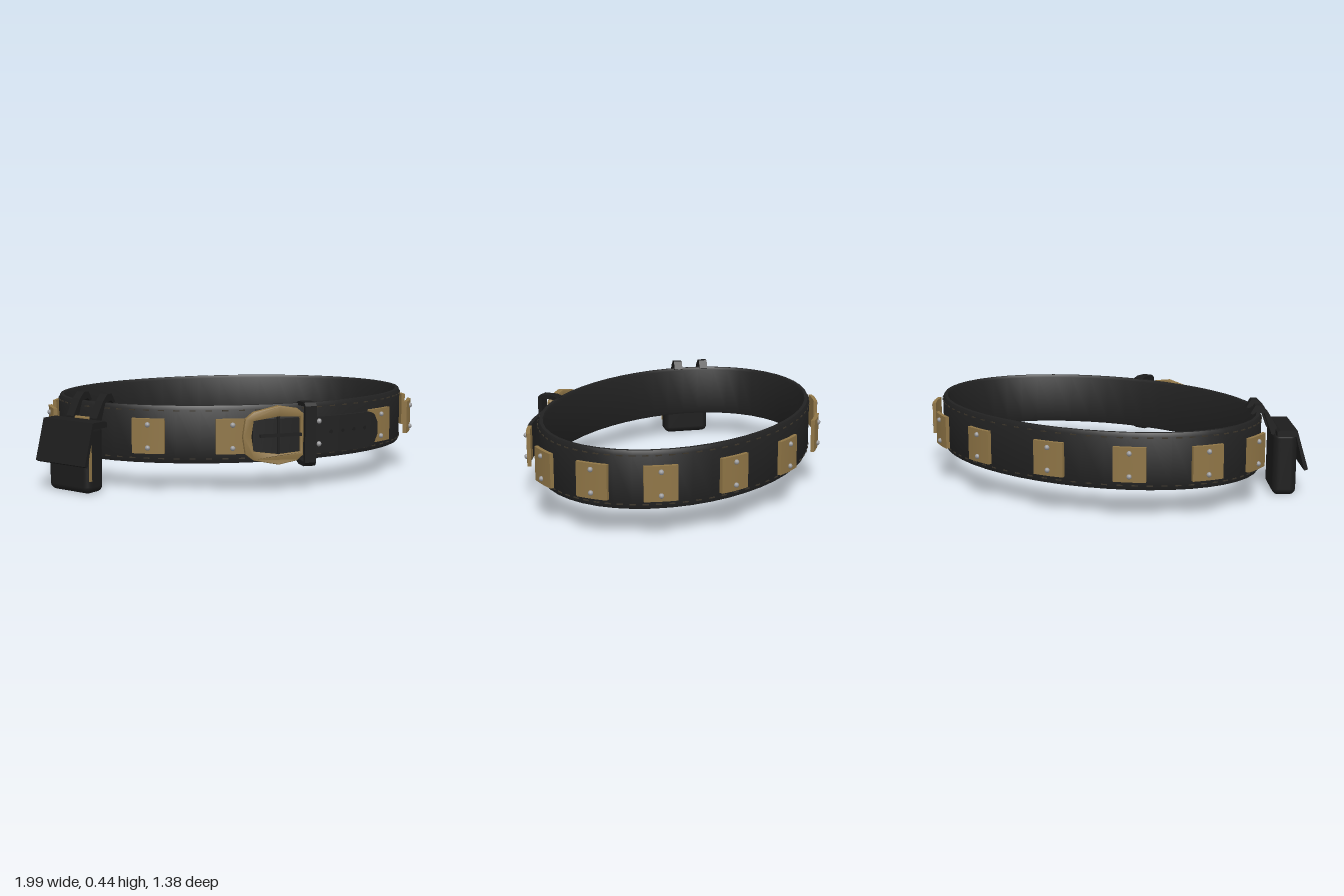
import * as THREE from 'three';
import { toCreasedNormals } from 'three/addons/utils/BufferGeometryUtils.js';
import { RoundedBoxGeometry } from 'three/addons/geometries/RoundedBoxGeometry.js';

const material = (name, color) => {
  const m = new THREE.MeshStandardMaterial({ color });
  m.name = name;
  return m;
};

const CX = 0.05, CZ = -0.02, RX = 0.88, RZ = 0.62, MID = 0.265;

// Move every vertex of a geometry by a rule, then rebuild its normals
function bend(geometry, rule, crease = 0.6) {
  const p = geometry.attributes.position, v = new THREE.Vector3();
  for (let i = 0; i < p.count; i++) {
    rule(v.fromBufferAttribute(p, i));
    p.setXYZ(i, v.x, v.y, v.z);
  }
  return toCreasedNormals(geometry, crease);
}

const polygon = (pts) => new THREE.Shape(pts.map(([x, y]) => new THREE.Vector2(x, y)));

// Extrude a (z, y) outline sideways, centred on x = 0
function sideExtrude(shape, width) {
  const g = new THREE.ExtrudeGeometry(shape, { depth: width, bevelEnabled: false });
  return g.translate(0, 0, -width / 2).rotateY(-Math.PI / 2);
}

export function createModel() {
  const leather = material('black leather', 0x222222);
  const darkLeather = material('dark leather', 0x1c1c1c);
  const brass = material('aged brass', 0x8f7546);
  const steel = material('steel', 0x9a9a9c);
  const thread = material('thread', 0x3a342a);

  const root = new THREE.Group();
  const add = (parent, name, geometry, mat, x = 0, y = 0, z = 0) => {
    const mesh = new THREE.Mesh(geometry, mat);
    mesh.name = name;
    mesh.position.set(x, y, z);
    parent.add(mesh);
    return mesh;
  };

  // Elliptical belt band with softened edges
  const profile = [[1, 0.15], [1, 0.38], [0.992, 0.398], [0.976, 0.398], [0.97, 0.385],
    [0.97, 0.145], [0.976, 0.133], [0.992, 0.133], [1, 0.15]];
  const band = bend(
    new THREE.LatheGeometry(profile.map(([r, y]) => new THREE.Vector2(r, y)), 48),
    (v) => {
      const r = Math.hypot(v.x, v.z), s = v.x / r, c = v.z / r;
      v.x = CX + s * (RX + r - 1);
      v.z = CZ + c * (RZ + r - 1);
    });
  add(root, 'beltBand', band, leather);

  // Stitching along both edges
  const stitchGeometry = new THREE.BoxGeometry(0.028, 0.005, 0.005);
  for (let i = 0; i < 72; i++) {
    const t = (i / 72) * Math.PI * 2, s = Math.sin(t), c = Math.cos(t);
    for (const y of [0.155, 0.376]) {
      const stitch = add(root, 'stitch', stitchGeometry, thread, CX + RX * s, y, CZ + RZ * c);
      stitch.rotation.y = Math.atan2(s / RX, c / RZ);
    }
  }

  // Riveted brass plates: offset x, offset z, turn in degrees
  const plateGeometry = bend(new THREE.BoxGeometry(0.15, 0.16, 0.018, 6, 1, 1),
    (v) => { v.z -= v.x * v.x * 0.8; });
  const rivetGeometry = new THREE.SphereGeometry(0.012, 10, 8);
  const addRivets = (parent, x, z) => {
    for (const dy of [-0.053, 0.053]) add(parent, 'rivet', rivetGeometry, steel, x, dy, z);
  };
  const addPlate = (dx, dz, turn) => {
    const plate = new THREE.Group();
    plate.name = 'beltPlate';
    plate.position.set(CX + dx, MID, CZ + dz);
    plate.rotation.y = turn;
    add(plate, 'plate', plateGeometry, brass);
    addRivets(plate, 0, 0.011);
    root.add(plate);
  };
  for (const [dx, dz, degrees] of [[0.21, 0.65, 10], [0.57, 0.525, 28], [0.835, 0.29, 57], [0.92, 0, 90]]) {
    for (const sx of [-1, 1]) for (const sz of [-1, 1]) {
      if (dz === 0 && sz < 0) continue;
      if (sz > 0 && sx > 0 && degrees === 10) continue; // covered by the strap
      if (sz > 0 && sx < 0 && degrees === 57) continue; // pouch hangs here
      const a = THREE.MathUtils.degToRad(degrees);
      addPlate(sx * dx, sz * dz, Math.atan2(sx * Math.sin(a), sz * Math.cos(a)));
    }
  }

  // Overlapping strap end with a rounded tip
  const strapZ = (x) => CZ + 0.67 * Math.sqrt(1 - ((x - CX) / 0.94) ** 2);
  const strap = bend(new THREE.BoxGeometry(1, 1, 0.018, 32, 1, 1), (v) => {
    const x = -0.07 + (v.x + 0.5) * 0.67;
    const k = Math.max(0, (x - 0.53) / 0.07);
    v.y = MID - 0.012 + v.y * 0.17 * (0.35 + 0.65 * Math.sqrt(Math.max(0, 1 - k * k)));
    v.z += strapZ(x) - 0.004;
    v.x = x;
  });
  add(root, 'strapEnd', strap, leather);
  const holeGeometry = new THREE.CylinderGeometry(0.009, 0.009, 0.004, 12).rotateX(Math.PI / 2);
  for (let i = 0; i < 4; i++) {
    const x = 0.32 + i * 0.065;
    const hole = add(root, 'strapHole', holeGeometry, darkLeather, x, MID, strapZ(x) + 0.005);
    hole.rotation.y = (x - CX) * 0.8;
  }
  const strapRivets = new THREE.Group();
  strapRivets.name = 'strapRivets';
  strapRivets.position.set(0.255, MID, strapZ(0.255) + 0.005);
  addRivets(strapRivets, 0, 0);
  root.add(strapRivets);

  // Buckle frame, thickest across its middle
  const frame = polygon([[-0.12, 0.265], [-0.108, 0.345], [-0.07, 0.375], [0.05, 0.4], [0.14, 0.385],
    [0.17, 0.36], [0.17, 0.17], [0.14, 0.145], [0.05, 0.13], [-0.07, 0.155], [-0.108, 0.185]]);
  frame.holes.push(polygon([[-0.08, 0.265], [-0.07, 0.195], [0.05, 0.178], [0.155, 0.185],
    [0.155, 0.345], [0.05, 0.352], [-0.07, 0.335]]));
  const buckle = bend(new THREE.ExtrudeGeometry(frame, {
    depth: 0.022, bevelThickness: 0.005, bevelSize: 0.004, bevelOffset: -0.004, bevelSegments: 2,
  }), (v) => {
    v.z = 0.652 + (v.z - 0.011) * (1.1 - 3 * Math.abs(v.x - 0.03));
  }, 0.5);
  add(root, 'buckleFrame', buckle, brass);
  add(root, 'buckleBar', new THREE.BoxGeometry(0.012, 0.19, 0.016), darkLeather, 0.05, MID, 0.655);
  add(root, 'bucklePin', new THREE.BoxGeometry(0.2, 0.014, 0.014), darkLeather, 0.06, MID, 0.66);

  // Keeper loop around both layers
  const keeper = polygon([[0.57, 0.13], [0.6, 0.117], [0.67, 0.117], [0.685, 0.135],
    [0.685, 0.395], [0.67, 0.41], [0.6, 0.41], [0.57, 0.4]]);
  keeper.holes.push(polygon([[0.582, 0.142], [0.664, 0.137], [0.664, 0.393], [0.582, 0.388]]));
  add(root, 'keeperLoop', sideExtrude(keeper, 0.055), darkLeather, 0.197);

  // Pouch hung from the band; its local z faces outward
  const pouch = new THREE.Group();
  pouch.name = 'pouch';
  pouch.position.set(-0.825, 0, 0.333);
  pouch.rotation.y = Math.atan2(-0.8, 0.6);
  root.add(pouch);
  add(pouch, 'pouchBody', new RoundedBoxGeometry(0.25, 0.316, 0.115, 4, 0.032), darkLeather, 0, 0.158, -0.008);
  const flap = polygon([[-0.055, 0.3], [-0.055, 0.322], [-0.04, 0.33], [0.04, 0.33],
    [0.097, 0.14], [0.08, 0.132], [0.035, 0.3]]);
  add(pouch, 'pouchFlap', sideExtrude(flap, 0.305), darkLeather);
  add(pouch, 'pouchTrim', new THREE.BoxGeometry(0.008, 0.2, 0.012), brass, 0.124, 0.16, 0.03);
  const rod = new THREE.CylinderGeometry(0.009, 0.009, 0.17, 10).rotateZ(Math.PI / 2);
  add(pouch, 'hangerRod', rod, brass, 0, 0.328, -0.066);

  // Two hangers hooked over the top of the band
  const hanger = polygon([[-0.05, 0.29], [-0.05, 0.335], [-0.095, 0.41], [-0.125, 0.44], [-0.155, 0.44],
    [-0.178, 0.4], [-0.165, 0.395], [-0.15, 0.408], [-0.11, 0.4], [-0.075, 0.3]]);
  for (const x of [-0.072, 0.072]) {
    add(pouch, 'pouchHanger', sideExtrude(hanger, 0.045), darkLeather, x);
  }

  return root;
}
